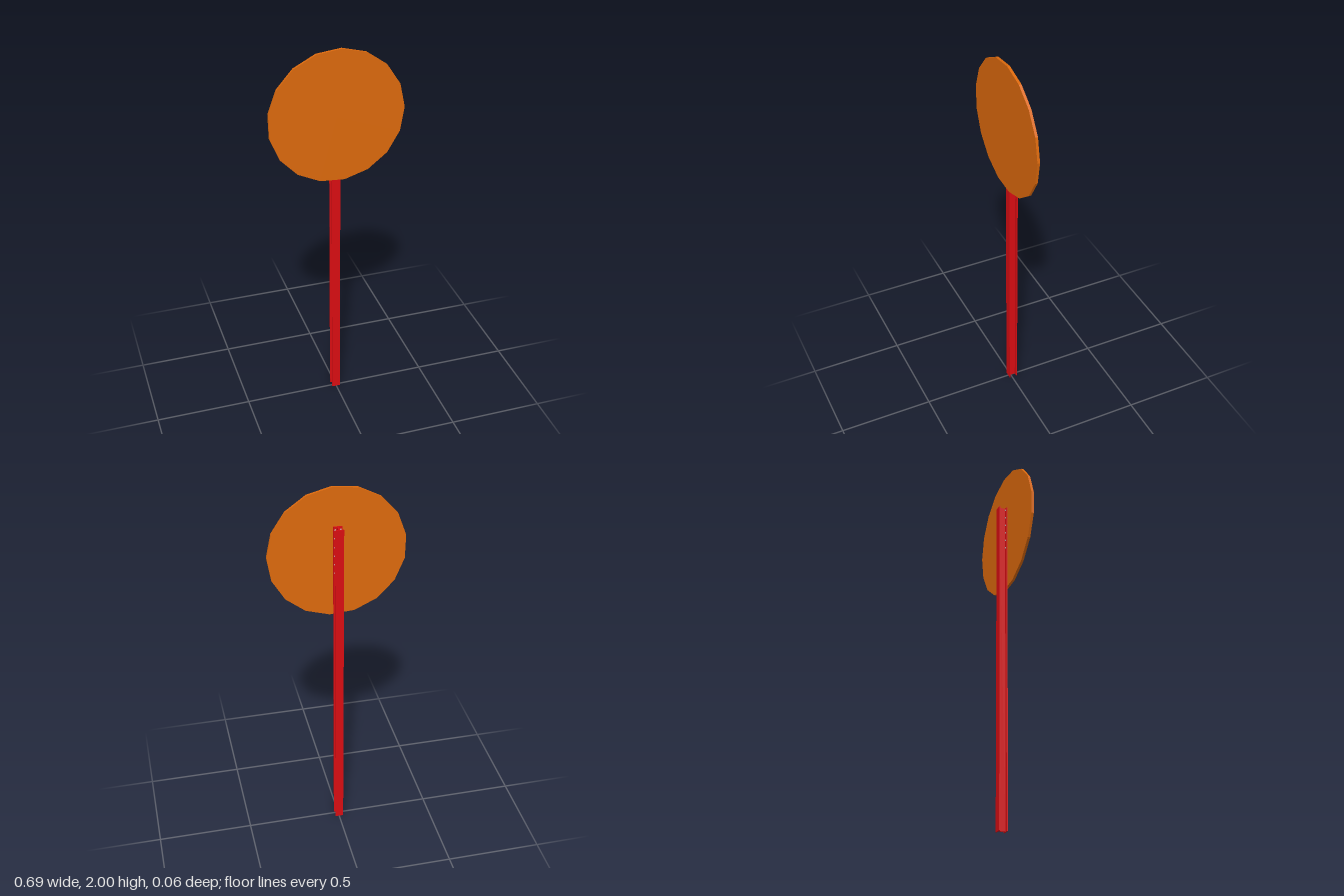
import * as THREE from 'three';

const SIDES = 17;
const CX = -0.001;

export function createModel() {
  const model = new THREE.Group();
  model.name = 'roundSignOnPost';
  const red = new THREE.MeshStandardMaterial({ color: 0xd90d12 });
  const orange = new THREE.MeshStandardMaterial({ color: 0xdc690c, flatShading: true });
  const grey = new THREE.MeshStandardMaterial({ color: 0xcccccc });

  const add = (name, geometry, material) => {
    const mesh = new THREE.Mesh(geometry, material);
    mesh.name = name;
    model.add(mesh);
    return mesh;
  };

  // I-beam post: outline in plan (x, z), extruded upward
  const w = 0.022, web = 0.0045, t = 0.006;
  const back = -0.031, front = 0.0145, height = 1.795;
  const half = [[w, back], [w, back + t], [web, back + t], [web, front - t], [w, front - t], [w, front]];
  const mirrored = half.map(([x, z]) => [-x, z]).reverse();
  const outline = [...half, ...mirrored].map(([x, z]) => new THREE.Vector2(x, -z));
  const beam = new THREE.ExtrudeGeometry(new THREE.Shape(outline), { depth: height, bevelEnabled: false });
  beam.rotateX(-Math.PI / 2);
  add('post', beam, red).position.x = CX;

  // Round sign plate, a thin many-sided disc
  const thickness = 0.0135;
  const plate = new THREE.CylinderGeometry(0.347, 0.347, thickness, SIDES);
  plate.rotateX(Math.PI / 2);
  // put one corner just above the +x axis
  plate.rotateZ(Math.PI / 2 + THREE.MathUtils.degToRad(1.2));
  const corner = new THREE.Vector3().fromBufferAttribute(plate.attributes.position, 0);
  plate.rotateZ(THREE.MathUtils.degToRad(1.2) - Math.atan2(corner.y, corner.x));
  add('signPlate', plate, orange).position.set(0, 1.654, front + thickness / 2);

  // Two columns of small bolts on the inside of the front flange
  const bolt = new THREE.CylinderGeometry(0.004, 0.004, 0.003, 8);
  bolt.rotateX(Math.PI / 2);
  for (const side of [-1, 1]) {
    for (let i = 0; i < 6; i++) {
      add('bolt', bolt, grey).position.set(CX + side * 0.014, 1.78 - i * 0.047, front - t - 0.001);
    }
  }
  return model;
}
